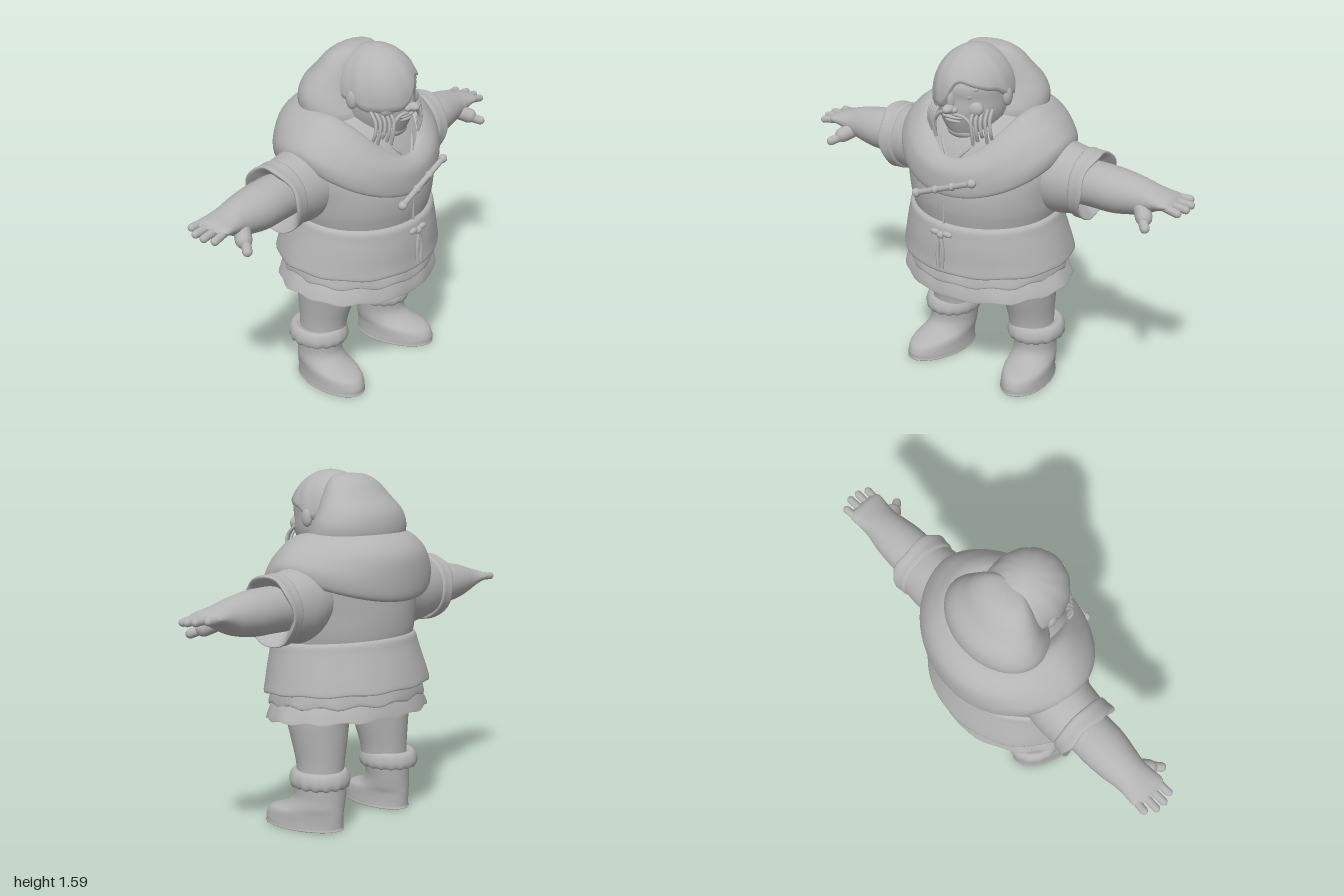
import * as THREE from 'three';

const grey = new THREE.MeshStandardMaterial({ color: 0xb4b4b4, side: THREE.DoubleSide });
grey.name = 'clay grey';
const TAU = Math.PI * 2;
const { lerp } = THREE.MathUtils;

// Closed-around surface: fn(angle, v) gives a point; angle 0 is the front
function surface(fn, nu, nv) {
  const pos = [], idx = [];
  for (let j = 0; j <= nv; j++)
    for (let i = 0; i < nu; i++) pos.push(...fn((i / nu) * TAU, j / nv));
  for (let j = 0; j < nv; j++)
    for (let i = 0; i < nu; i++) {
      const a = j * nu + i, b = j * nu + (i + 1) % nu;
      idx.push(a, b, b + nu, a, b + nu, a + nu);
    }
  const g = new THREE.BufferGeometry();
  g.setAttribute('position', new THREE.Float32BufferAttribute(pos, 3));
  g.setIndex(idx);
  g.computeVertexNormals();
  return g;
}

// Smooth interpolation through rows of numbers
function sample(rows, v) {
  const f = v * (rows.length - 1), i = Math.min(Math.floor(f), rows.length - 2), t = f - i;
  const at = k => rows[Math.max(0, Math.min(rows.length - 1, k))];
  return rows[i].map((b, n) => {
    const a = at(i - 1)[n], c = at(i + 1)[n], d = at(i + 2)[n];
    const m0 = (c - a) / 2, m1 = (d - b) / 2;
    return b + m0 * t + (3 * (c - b) - 2 * m0 - m1) * t * t + (2 * (b - c) + m0 + m1) * t * t * t;
  });
}

// Upright loft, rows: [y, centre x, half width, front z, back z]
function loftY(rows, warp = (p) => p, nu = 64) {
  return surface((a, v) => {
    const [y, cx, rx, zf, zb] = sample(rows, v);
    return warp([cx + rx * Math.sin(a), y, (zf + zb) / 2 + (zf - zb) / 2 * Math.cos(a)], a);
  }, nu, (rows.length - 1) * 4);
}

// Sideways loft, rows: [x, centre y, centre z, half height, half depth]
function loftX(rows, warp = (p) => p, nu = 40) {
  return surface((a, v) => {
    const [x, cy, cz, ry, rz] = sample(rows, v);
    return warp([x, cy + ry * Math.cos(a), cz + rz * Math.sin(a)], a, v);
  }, nu, (rows.length - 1) * 4);
}

function add(parent, name, geometry) {
  const m = new THREE.Mesh(geometry, grey);
  m.name = name;
  parent.add(m);
  return m;
}

function ball(parent, name, p, s) {
  const m = add(parent, name, new THREE.SphereGeometry(1, 32, 24));
  m.position.set(...p);
  m.scale.set(...s);
}

function rod(parent, name, p, q, r) {
  const a = new THREE.Vector3(...p), b = new THREE.Vector3(...q), d = b.clone().sub(a);
  const m = add(parent, name, new THREE.CapsuleGeometry(r, d.length(), 6, 12));
  m.position.copy(a).add(b).multiplyScalar(0.5);
  m.quaternion.setFromUnitVectors(new THREE.Vector3(0, 1, 0), d.normalize());
}

function cord(parent, name, pts, r) {
  const c = new THREE.CatmullRomCurve3(pts.map(p => new THREE.Vector3(...p)));
  add(parent, name, new THREE.TubeGeometry(c, 24, r, 8));
}

// Cloth folds that fade out above a height; the front dips by the given drop
const folds = (n, amp, y0, fade, drop = 0) => ([x, y, z], a) => {
  const w = Math.max(0, 1 - Math.max(0, y - y0) / fade), c = Math.cos(a);
  const k = 1 + amp * w * Math.sin(a * n + 1.5 * Math.sin(a * 3));
  return [x * k, y - drop * c * (c > 0 ? 1 : 0.4) + amp * 0.5 * w * Math.sin(a * (n + 4)), z * k];
};

function buildCoat(g) {
  add(g, 'coatBody', loftY([[0.78, 0, 0.33, 0.29, -0.26], [0.85, 0, 0.35, 0.305, -0.275], [0.9, 0, 0.362, 0.312, -0.28],
    [0.97, 0, 0.372, 0.311, -0.28], [1.05, 0, 0.385, 0.29, -0.275], [1.14, 0, 0.38, 0.255, -0.27],
    [1.22, 0, 0.31, 0.21, -0.25], [1.29, 0, 0.2, 0.15, -0.2], [1.34, 0, 0.1, 0.1, -0.1]]));
  add(g, 'coatSkirt', loftY([[0.70, 0, 0.36, 0.29, -0.30], [0.64, 0, 0.385, 0.31, -0.325], [0.625, 0, 0.413, 0.337, -0.352],
    [0.67, 0, 0.405, 0.334, -0.342], [0.74, 0, 0.387, 0.33, -0.32], [0.80, 0, 0.371, 0.322, -0.3],
    [0.838, 0, 0.361, 0.314, -0.288], [0.853, 0, 0.335, 0.29, -0.265]], folds(7, 0.007, 0.62, 0.15, 0.032)));
  add(g, 'underLayer', loftY([[0.63, 0, 0.34, 0.28, -0.29], [0.58, 0, 0.36, 0.3, -0.31], [0.568, 0, 0.382, 0.322, -0.33],
    [0.61, 0, 0.376, 0.315, -0.325], [0.67, 0, 0.36, 0.3, -0.31]], folds(9, 0.015, 0.57, 0.1, 0.03)));
  add(g, 'raggedHem', loftY([[0.6, 0, 0.35, 0.28, -0.29], [0.515, 0, 0.402, 0.315, -0.33], [0.505, 0, 0.412, 0.322, -0.336],
    [0.54, 0, 0.395, 0.317, -0.328], [0.60, 0, 0.36, 0.3, -0.31]], folds(10, 0.012, 0.5, 0.1, 0.034)));

  // Broad collar sloping over the shoulders and meeting low on the chest; rows: [reach, drop, inset at sides]
  const rows = [[0.7, 0.85, 0], [0.85, 1, 0], [0.97, 0.92, 0], [1, 0.65, 0.02], [0.96, 0.36, 0.2], [0.78, 0.17, 0.24],
    [0.45, 0.03, 0.12], [0.1, 0, 0], [-0.1, 0.15, 0]];
  add(g, 'collar', surface((a, v) => {
    const [reach, h, inset] = sample(rows, v), c = Math.cos(a), f = Math.max(0, c), b = Math.max(0, -c);
    const k = reach - inset * Math.sin(a) ** 2;
    const yi = 1.32 - 0.2 * f * f, yo = 1.13 - 0.17 * f ** 1.2 - 0.1 * b ** 1.5;
    const rz = c > 0 ? lerp(0.255, 0.33, k) : lerp(0.2, 0.362, k);
    return [Math.sin(a) * lerp(0.215, 0.415, k), lerp(yi, yo, h), c * rz];
  }, 72, 36));
  add(g, 'hood', loftY([[1.24, 0, 0.23, 0.12, -0.22], [1.3, 0, 0.252, 0.12, -0.25], [1.36, 0, 0.25, 0.09, -0.252],
    [1.42, 0, 0.222, 0.07, -0.232], [1.48, 0, 0.18, 0.06, -0.178], [1.53, 0, 0.142, 0.05, -0.135],
    [1.565, 0, 0.09, 0.03, -0.08], [1.575, 0, 0.002, -0.02, -0.024]]));

  // Neckline, front seam and fastenings
  for (const s of [-1, 1]) cord(g, 'necklineEdge', [[s * 0.1, 1.2, 0.2], [s * 0.055, 1.15, 0.247], [0, 1.09, 0.275]], 0.008);
  cord(g, 'frontSeam', [[0, 1.1, 0.268], [-0.01, 1.0, 0.303], [-0.015, 0.9, 0.309], [-0.015, 0.82, 0.31]], 0.005);
  rod(g, 'toggle', [-0.14, 0.945, 0.34], [0.16, 1.06, 0.34], 0.013);
  for (const t of [0, 0.35, 0.65, 1])
    ball(g, 'toggleKnob', [lerp(-0.14, 0.16, t), lerp(0.945, 1.06, t), 0.34], t % 1 ? [0.016, 0.018, 0.018] : [0.021, 0.02, 0.02]);
  ball(g, 'bowKnot', [-0.012, 0.775, 0.338], [0.018, 0.018, 0.014]);
  for (const s of [-1, 1]) {
    ball(g, 'bowLoop', [-0.012 + s * 0.033, 0.782, 0.334], [0.026, 0.014, 0.012]);
    cord(g, 'bowTail', [[-0.012, 0.775, 0.338], [-0.012 + s * 0.014, 0.7, 0.342], [-0.012 + s * 0.011, 0.615, 0.344]], 0.008);
  }
}

function buildHead(g) {
  add(g, 'face', loftY([[1.175, 0, 0.005, 0.17, 0.15], [1.185, 0, 0.06, 0.21, 0], [1.21, 0, 0.1, 0.228, -0.04],
    [1.26, 0, 0.132, 0.25, -0.06], [1.32, 0, 0.152, 0.268, -0.08], [1.38, 0, 0.156, 0.266, -0.08],
    [1.44, 0, 0.155, 0.268, -0.08], [1.51, 0, 0.13, 0.22, -0.06], [1.56, 0, 0.02, 0.1, 0.06]]));

  // Hair cap with a long fringe sweeping over the right eye
  add(g, 'hair', surface((a, v) => {
    const s = Math.sin(a), c = Math.cos(a);
    const part = 1 / (1 + Math.exp(-(s - 0.02) * 11));
    const fringe = lerp(1.335, 1.485 - 0.07 * s, part);
    const low = lerp(1.37, fringe, THREE.MathUtils.smoothstep(c, -0.2, 0.4));
    const y = lerp(low, 1.588, Math.sin(v * Math.PI / 2));
    let r = Math.sqrt(Math.max(0, 1 - (Math.max(0, y - 1.38) / 0.208) ** 2));
    r *= (1 + 0.008 * Math.sin(a * 13 + v * 6)) * (v === 0 ? 0.93 : 1);
    return [s * 0.176 * r, y, 0.09 + c * 0.2 * r];
  }, 128, 24));

  ball(g, 'noseBridge', [0, 1.38, 0.262], [0.018, 0.05, 0.024]);
  ball(g, 'noseTip', [0, 1.345, 0.285], [0.025, 0.02, 0.033]);
  ball(g, 'upperLip', [0, 1.304, 0.257], [0.055, 0.01, 0.018]);
  ball(g, 'lowerLip', [0, 1.285, 0.25], [0.042, 0.01, 0.018]);
  ball(g, 'chin', [0, 1.222, 0.195], [0.07, 0.032, 0.04]);
  for (const s of [-1, 1]) {
    const side = s > 0 ? 'left' : 'right';
    ball(g, side + 'Nostril', [s * 0.02, 1.34, 0.272], [0.016, 0.014, 0.018]);
    ball(g, side + 'Cheek', [s * 0.075, 1.345, 0.215], [0.055, 0.04, 0.03]);
    ball(g, side + 'Eye', [s * 0.065, 1.4, 0.238], [0.024, 0.012, 0.012]);
    rod(g, side + 'Brow', [s * 0.03, 1.425, 0.256], [s * 0.1, 1.432, 0.222], 0.01);
    ball(g, side + 'Ear', [s * 0.166, 1.38, 0.085], [0.018, 0.042, 0.028]);
    cord(g, side + 'Moustache', [[s * 0.015, 1.32, 0.27], [s * 0.06, 1.312, 0.258], [s * 0.1, 1.27, 0.25], [s * 0.105, 1.21, 0.245]], 0.008);
    // Beard braids
    for (let i = 0; i < 5; i++) {
      const x = s * (0.095 + i * 0.016), z = 0.255 - i * 0.012, end = 1.19 + (i * 7 % 5) * 0.009;
      cord(g, side + 'Braid', [[x * 0.93, 1.34, z - 0.035], [x, 1.3, z], [x + s * 0.008, 1.25, z + 0.004], [x + s * 0.004, end, z - 0.01]], 0.0075);
    }
  }
}

function buildArm(g) {
  const wave = ([x, y, z], a, v) => [x + 0.009 * v * Math.sin(a * 5) - 0.026 * v * (1 - Math.cos(a)), y, z];
  add(g, 'sleeve', loftX([[0.22, 1.06, -0.03, 0.14, 0.14], [0.32, 1.04, -0.035, 0.165, 0.15], [0.4, 1.022, -0.042, 0.163, 0.148],
    [0.47, 1.018, -0.045, 0.152, 0.143], [0.53, 1.016, -0.045, 0.14, 0.138]], wave));
  add(g, 'sleeveCuff', loftX([[0.48, 1.018, -0.045, 0.135, 0.13], [0.492, 1.018, -0.045, 0.156, 0.146], [0.525, 1.016, -0.045, 0.155, 0.149],
    [0.56, 1.015, -0.045, 0.156, 0.152], [0.565, 1.015, -0.045, 0.142, 0.138], [0.51, 1.018, -0.045, 0.09, 0.09]], wave));
  add(g, 'forearm', loftX([[0.42, 1.02, -0.045, 0.1, 0.1], [0.55, 1.022, -0.045, 0.1, 0.105], [0.65, 1.02, -0.045, 0.098, 0.105],
    [0.74, 1.02, -0.048, 0.084, 0.093], [0.8, 1.022, -0.048, 0.068, 0.083], [0.86, 1.028, -0.048, 0.043, 0.084],
    [0.91, 1.032, -0.048, 0.025, 0.086], [0.935, 1.032, -0.048, 0.004, 0.06]]));
  [[-0.118, 0.955], [-0.072, 0.982], [-0.027, 0.983], [0.018, 0.968]].forEach(([z, tip], i) =>
    rod(g, 'finger' + (i + 1), [0.88, 1.03, z * 0.9 - 0.005], [tip, 1.03 - 0.005 * i, z], 0.0175));
  rod(g, 'thumbBase', [0.785, 1.0, -0.005], [0.83, 0.972, 0.045], 0.036);
  rod(g, 'thumb', [0.82, 0.972, 0.045], [0.862, 0.948, 0.092], 0.021);
}

function buildLeg(g) {
  add(g, 'trouserLeg', loftY([[0.2, 0.225, 0.1, 0.065, -0.15], [0.3, 0.22, 0.103, 0.075, -0.155], [0.4, 0.215, 0.118, 0.105, -0.162],
    [0.5, 0.21, 0.132, 0.135, -0.17], [0.6, 0.19, 0.14, 0.16, -0.19]]));
  const toeOut = ([x, y, z]) => [x + 0.12 * z, Math.max(0, y), z];
  add(g, 'boot', loftY([[0, 0.25, 0.001, 0.03, 0.026], [0, 0.25, 0.06, 0.125, -0.07], [0, 0.25, 0.108, 0.216, -0.162],
    [0.012, 0.25, 0.11, 0.222, -0.165], [0.04, 0.25, 0.108, 0.22, -0.166],
    [0.075, 0.25, 0.107, 0.195, -0.167], [0.105, 0.248, 0.104, 0.11, -0.167], [0.15, 0.243, 0.1, 0.065, -0.168],
    [0.22, 0.24, 0.105, 0.065, -0.17], [0.25, 0.24, 0.1, 0.06, -0.165]], toeOut));
  add(g, 'bootCuff', loftY([[0.21, 0.24, 0.09, 0.05, -0.155], [0.198, 0.24, 0.118, 0.075, -0.185], [0.222, 0.24, 0.13, 0.088, -0.196],
    [0.255, 0.24, 0.125, 0.082, -0.19], [0.274, 0.238, 0.108, 0.066, -0.172], [0.262, 0.235, 0.08, 0.04, -0.14]], folds(13, 0.007, 0.2, 0.08)));
}

export function createModel() {
  const model = new THREE.Group();
  model.name = 'coatedFigure';
  const part = (name, build, sx = 1) => {
    const g = new THREE.Group();
    g.name = name;
    g.scale.x = sx;
    build(g);
    model.add(g);
  };
  part('coat', buildCoat);
  part('head', buildHead);
  part('trouserSeat', g => add(g, 'seat', loftY([[0.455, 0, 0.005, -0.01, -0.04], [0.465, 0, 0.14, 0.07, -0.12], [0.51, 0, 0.29, 0.15, -0.19],
    [0.57, 0, 0.35, 0.25, -0.27], [0.66, 0, 0.34, 0.26, -0.27]])));
  for (const s of [1, -1]) {
    const side = s > 0 ? 'left' : 'right';
    part(side + 'Arm', buildArm, s);
    part(side + 'Leg', buildLeg, s);
  }
  return model;
}
